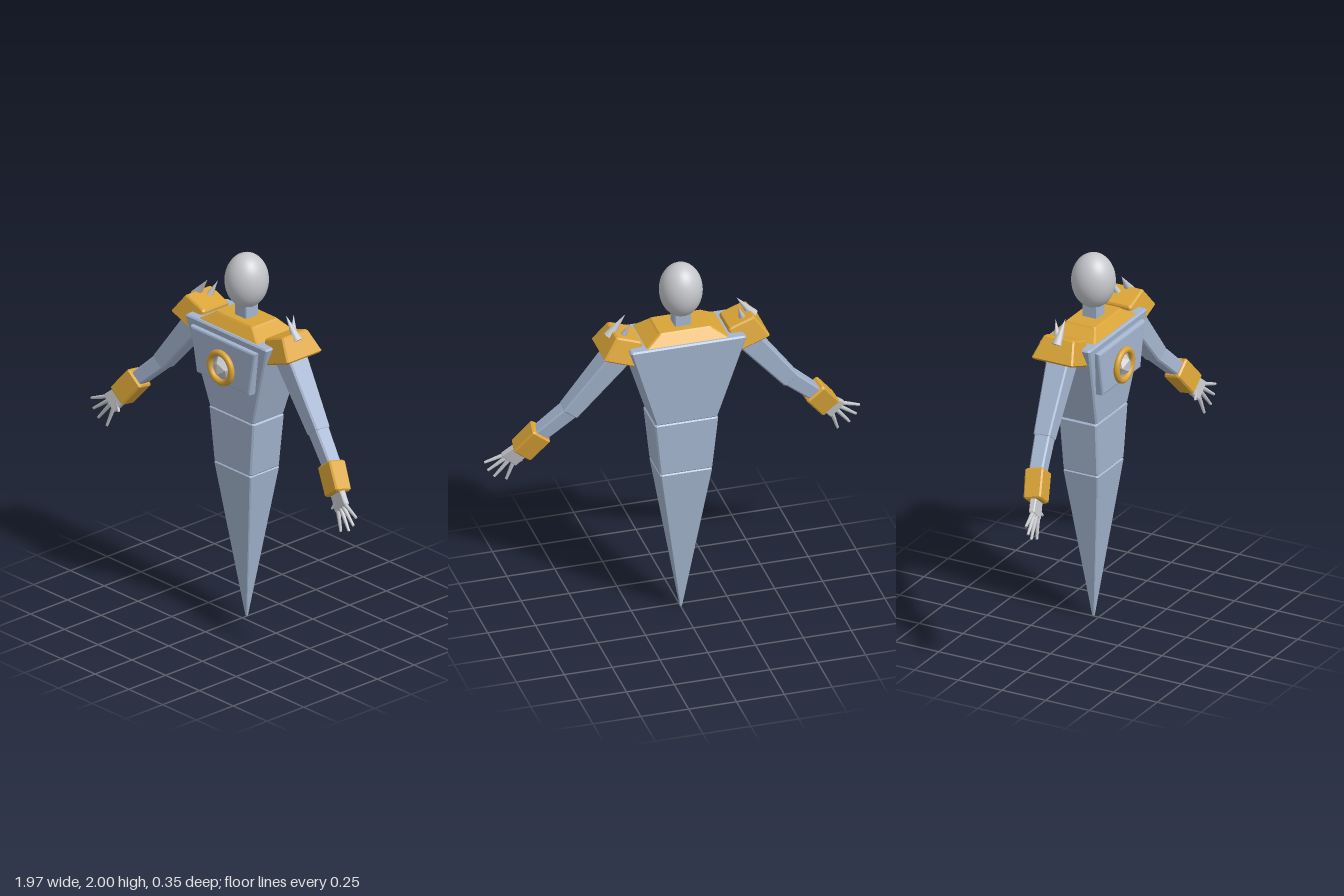
import * as THREE from 'three';

const steel = new THREE.MeshStandardMaterial({ color: 0xa4b5cf });
steel.name = 'steelBlue';
const gold = new THREE.MeshStandardMaterial({ color: 0xdaa437 });
gold.name = 'gold';
const silver = new THREE.MeshStandardMaterial({ color: 0xc5c7cb });
silver.name = 'silver';

const CZ = -0.03; // depth of the body's centre line

// Chamfered tapered box centred on the origin: bottom size, top size, height, chamfer
function blockGeometry(bw, bd, tw, td, h, c = 0.008) {
  const ring = (w, d, y, inset) => {
    w = Math.max(w / 2 - inset, 0.002);
    d = Math.max(d / 2 - inset, 0.002);
    const k = Math.min(c, w / 2, d / 2);
    return [[w, k - d], [w - k, -d], [k - w, -d], [-w, k - d],
      [-w, d - k], [k - w, d], [w - k, d], [w, d - k]].map(([x, z]) => [x, y, z]);
  };
  const rings = [ring(bw, bd, -h / 2, c), ring(bw, bd, -h / 2 + c, 0),
    ring(tw, td, h / 2 - c, 0), ring(tw, td, h / 2, c)];
  const pos = [];
  for (let i = 0; i < 8; i++) {
    const j = (i + 1) % 8;
    for (let r = 0; r < 3; r++) {
      const [a, b] = [rings[r], rings[r + 1]];
      pos.push(...a[i], ...a[j], ...b[j], ...a[i], ...b[j], ...b[i]);
    }
    pos.push(0, h / 2, 0, ...rings[3][i], ...rings[3][j]);
    pos.push(0, -h / 2, 0, ...rings[0][j], ...rings[0][i]);
  }
  const g = new THREE.BufferGeometry();
  g.setAttribute('position', new THREE.Float32BufferAttribute(pos, 3));
  g.computeVertexNormals();
  return g;
}

function add(parent, name, geometry, material, x = 0, y = 0, z = 0) {
  const m = new THREE.Mesh(geometry, material);
  m.name = name;
  m.position.set(x, y, z);
  parent.add(m);
  return m;
}

// Stands a geometry's y axis along the line a-b, keeping its z axis near the front
function along(parent, name, a, b, material, makeGeometry) {
  const A = new THREE.Vector3(...a), B = new THREE.Vector3(...b);
  const y = B.clone().sub(A);
  const length = y.length();
  y.normalize();
  const x = new THREE.Vector3().crossVectors(y, new THREE.Vector3(0, 0, 1)).normalize();
  const z = new THREE.Vector3().crossVectors(x, y);
  const m = add(parent, name, makeGeometry(length), material);
  m.quaternion.setFromRotationMatrix(new THREE.Matrix4().makeBasis(x, y, z));
  m.position.copy(A).add(B).multiplyScalar(0.5);
  return m;
}

function buildArm(s) {
  const arm = new THREE.Group();
  arm.name = s > 0 ? 'leftArm' : 'rightArm';
  const p = (x, y, z) => [s * x, y, z];
  const limb = (name, a, b, mat, ...size) =>
    along(arm, name, p(...a), p(...b), mat, (h) => blockGeometry(...size.slice(0, 4), h, size[4]));

  // Tilted shoulder pad with two spikes
  const pad = add(arm, 'shoulderPad', blockGeometry(0.21, 0.236, 0.146, 0.176, 0.13), gold,
    s * 0.314, 1.595, CZ);
  pad.rotation.z = s * 0.35;
  const spike = (a, b, r) => along(arm, 'shoulderSpike', p(...a), p(...b), silver,
    (h) => new THREE.ConeGeometry(r, h, 16));
  spike([0.377, 1.645, -0.03], [0.29, 1.757, -0.03], 0.028);
  spike([0.315, 1.645, -0.06], [0.28, 1.738, -0.092], 0.02);

  // Upper arm, forearm and cuff
  limb('upperArm', [0.32, 1.55, -0.03], [0.578, 1.222, 0.008], steel, 0.118, 0.125, 0.09, 0.092);
  limb('forearm', [0.565, 1.238, 0.006], [0.725, 1.085, 0.05], steel, 0.082, 0.085, 0.076, 0.075);
  limb('cuff', [0.707, 1.107, 0.045], [0.803, 0.983, 0.085], gold, 0.115, 0.1, 0.115, 0.095);

  // Palm, four fingers and thumb
  limb('palm', [0.79, 1.0, 0.083], [0.86, 0.928, 0.11], silver, 0.09, 0.035, 0.105, 0.03, 0.005);
  const fingers = [
    [[0.865, 0.965, 0.108], [0.98, 0.922, 0.125]],
    [[0.865, 0.945, 0.11], [0.962, 0.872, 0.127]],
    [[0.85, 0.93, 0.112], [0.928, 0.832, 0.127]],
    [[0.83, 0.915, 0.112], [0.866, 0.808, 0.125]],
    [[0.825, 0.965, 0.1], [0.789, 0.906, 0.115]],
  ];
  fingers.forEach(([a, b], i) => along(arm, i < 4 ? 'finger' : 'thumb', p(...a), p(...b), silver,
    (h) => new THREE.CylinderGeometry(0.007, 0.012, h, 10)));
  return arm;
}

export function createModel() {
  const model = new THREE.Group();
  model.name = 'floatingGuardian';

  // Body tapering down to a point
  add(model, 'torso', blockGeometry(0.325, 0.215, 0.605, 0.287, 0.47), steel, 0, 1.375, CZ);
  add(model, 'waist', blockGeometry(0.274, 0.2, 0.332, 0.214, 0.3), steel, 0, 0.993, CZ);
  add(model, 'tail', blockGeometry(0.012, 0.012, 0.272, 0.2, 0.842, 0.006), steel, 0, 0.424, CZ);

  // Collar, neck and head
  add(model, 'collar', blockGeometry(0.465, 0.272, 0.285, 0.18, 0.075), gold, 0, 1.628, CZ);
  add(model, 'neck', blockGeometry(0.086, 0.086, 0.086, 0.086, 0.14, 0.005), steel, 0, 1.71, CZ);
  const head = add(model, 'head', new THREE.SphereGeometry(1, 40, 28), silver, 0, 1.855, CZ);
  head.scale.set(0.11, 0.145, 0.113);

  // Raised chest plate
  const bevel = 0.012;
  const outline = new THREE.Shape([[-0.185, 1.342], [0.185, 1.342], [0.228, 1.563], [-0.228, 1.563]]
    .map(([x, y]) => new THREE.Vector2(x, y)));
  add(model, 'chestPlate', new THREE.ExtrudeGeometry(outline, {
    depth: 0.06, bevelSize: bevel, bevelThickness: bevel, bevelSegments: 2,
  }), steel, 0, 0, 0.063);

  // Ring emblem with a faceted gem
  const ring = add(model, 'emblemRing', new THREE.TorusGeometry(0.079, 0.017, 14, 40), gold, 0, 1.425, 0.147);
  ring.scale.z = 0.95;
  const gemGeometry = new THREE.IcosahedronGeometry(1, 0);
  const gem = add(model, 'emblemGem', gemGeometry, silver, 0, 1.425, 0.137);
  gem.scale.set(0.055, 0.06, 0.045);

  for (const s of [1, -1]) model.add(buildArm(s));
  return model;
}
